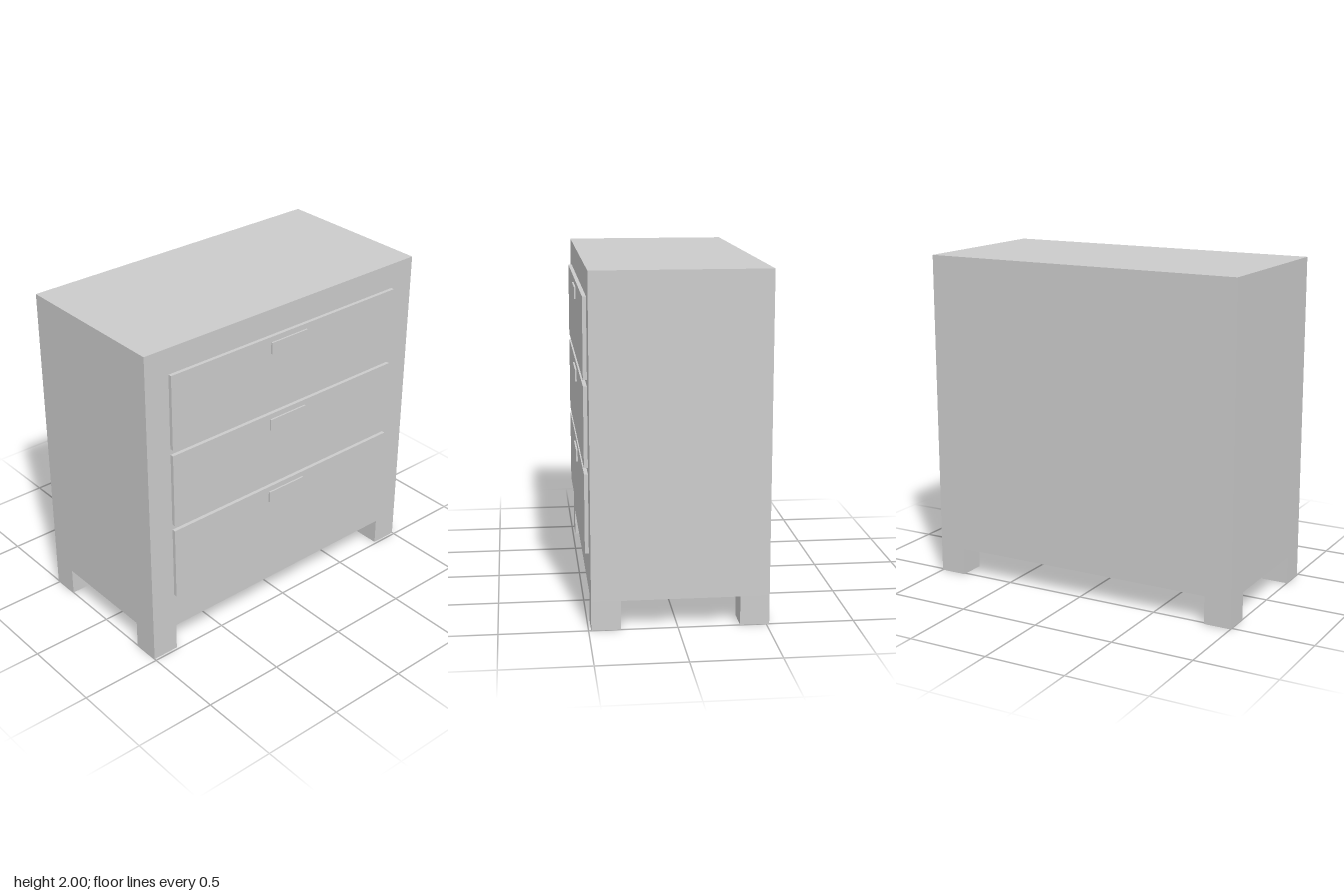
import * as THREE from 'three';

export function createModel() {
  const group = new THREE.Group();
  const material = new THREE.MeshStandardMaterial({ color: 0xcccccc, flatShading: true });

  // Box given by its extents along each axis
  function box(name, [x0, x1], [y0, y1], [z0, z1]) {
    const mesh = new THREE.Mesh(new THREE.BoxGeometry(x1 - x0, y1 - y0, z1 - z0), material);
    mesh.position.set((x0 + x1) / 2, (y0 + y1) / 2, (z0 + z1) / 2);
    mesh.name = name;
    group.add(mesh);
  }

  const back = -0.517, front = 0.485, legHeight = 0.168, legSize = 0.166;

  // Cabinet body
  box('cabinetBody', [-1, 1], [legHeight, 2], [back, front]);

  // Four square corner legs, flush with the body
  for (const [side, x] of [['Right', -1], ['Left', 1 - legSize]]) {
    box('front' + side + 'Leg', [x, x + legSize], [0, legHeight], [front - legSize, front]);
    box('back' + side + 'Leg', [x, x + legSize], [0, legHeight], [back, back + legSize]);
  }

  // Three drawer fronts, each with a flat handle near its top edge
  ['bottom', 'middle', 'top'].forEach((level, i) => {
    const y = 0.396 + i * 0.495;
    box(level + 'Drawer', [-0.843, 0.835], [y, y + 0.458], [front, 0.507]);
    box(level + 'Handle', [-0.138, 0.13], [y + 0.354, y + 0.424], [0.507, 0.517]);
  });

  return group;
}
